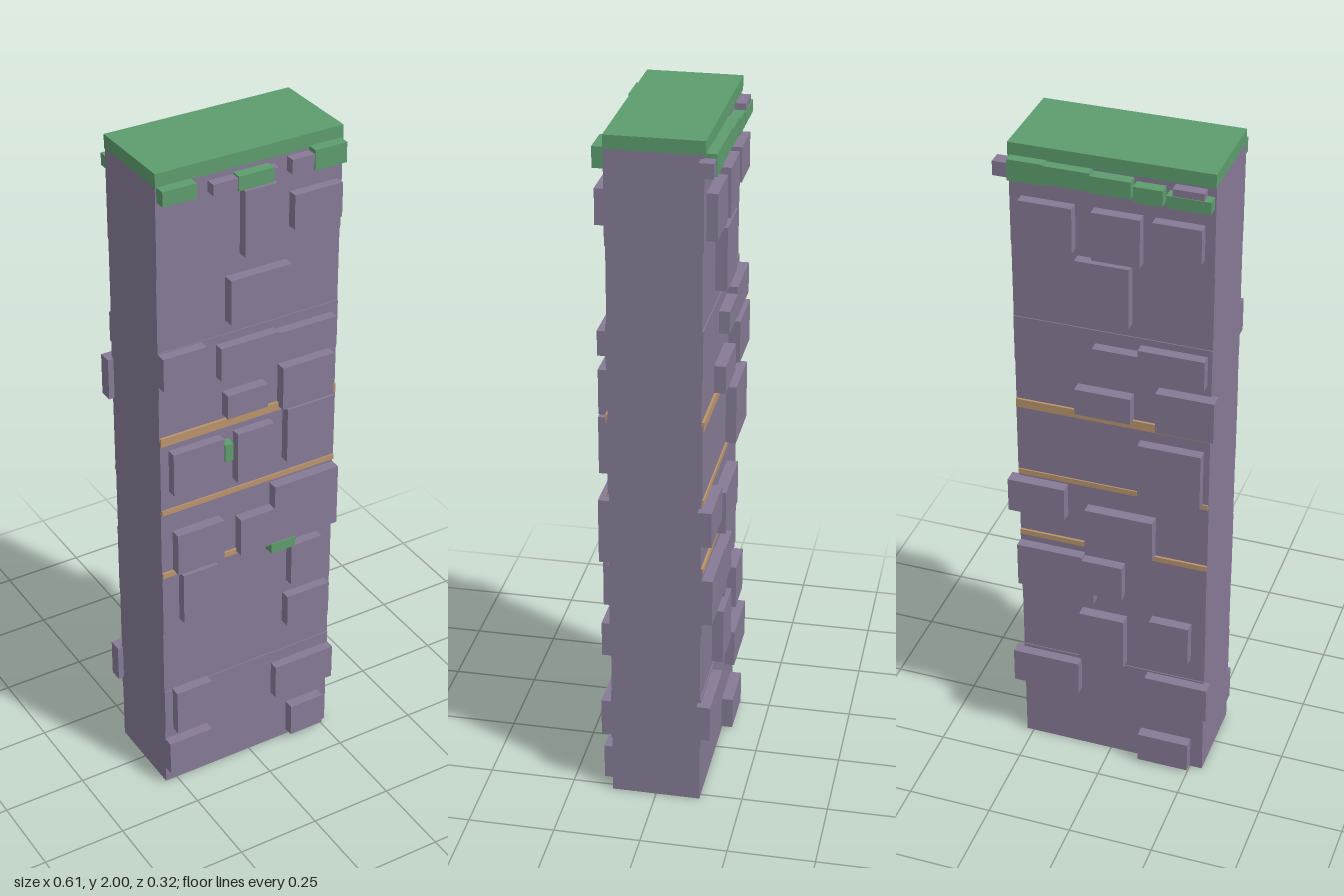
import * as THREE from 'three';

const stone = new THREE.MeshStandardMaterial({ name: 'mauve stone', color: 0x867a95 });
const moss = new THREE.MeshStandardMaterial({ name: 'moss green', color: 0x5d9d6e });
const tan = new THREE.MeshStandardMaterial({ name: 'tan mortar', color: 0xba946c });

// Front blocks: x0, x1, y0, y1
const frontStones = [
  [-0.135, 0.06, 1.912, 1.943], [0.1, 0.262, 1.912, 1.953],
  [-0.04, 0.057, 1.71, 1.9], [0.11, 0.257, 1.75, 1.85], [-0.082, 0.104, 1.52, 1.652],
  [-0.287, -0.155, 1.378, 1.477], [-0.112, 0.066, 1.356, 1.456], [0.066, 0.251, 1.378, 1.45],
  [-0.092, 0.035, 1.23, 1.303], [0.083, 0.247, 1.203, 1.335],
  [-0.261, -0.103, 1.038, 1.17], [-0.06, 0.056, 1.012, 1.17], [0.099, 0.252, 1.027, 1.197],
  [-0.251, -0.103, 0.768, 0.9], [0.062, 0.271, 0.76, 0.953], [-0.049, 0.062, 0.76, 0.88],
  [-0.235, -0.123, 0.593, 0.757], [0.12, 0.221, 0.593, 0.73], [0.11, 0.252, 0.445, 0.55],
  [-0.261, -0.145, 0.196, 0.344], [0.073, 0.271, 0.19, 0.302],
  [-0.287, -0.145, 0.053, 0.164], [0.13, 0.242, 0.02, 0.127],
];
const frontMoss = [
  [-0.283, -0.184, 1.92, 1.962], [-0.061, 0.043, 1.907, 1.948], [0.167, 0.264, 1.907, 1.965],
  [-0.102, -0.076, 1.096, 1.15], [0.05, 0.13, 0.731, 0.763],
];

// Back blocks: x0, x1, y0, y1
const backStones = [
  [0.264, 0.304, 1.912, 1.953], [-0.264, -0.18, 1.93, 1.955],
  [0.09, 0.238, 1.72, 1.85], [-0.095, 0.038, 1.71, 1.85], [-0.26, -0.128, 1.75, 1.85],
  [-0.065, 0.085, 1.52, 1.7], [-0.09, 0.038, 1.375, 1.44], [-0.275, -0.09, 1.37, 1.46],
  [-0.07, 0.09, 1.22, 1.3], [-0.304, -0.14, 1.21, 1.335], [-0.27, -0.09, 0.98, 1.155],
  [0.125, 0.293, 0.85, 0.955], [-0.135, 0.065, 0.77, 0.9],
  [0.075, 0.271, 0.59, 0.73], [-0.045, 0.075, 0.605, 0.72], [0.04, 0.075, 0.57, 0.605],
  [-0.05, 0.085, 0.355, 0.525], [-0.245, -0.128, 0.416, 0.55],
  [0.09, 0.293, 0.22, 0.33], [-0.304, -0.115, 0.22, 0.335], [-0.25, -0.095, 0.01, 0.108],
];
const backMoss = [
  [0.165, 0.264, 1.905, 1.965], [0.04, 0.165, 1.91, 1.962], [-0.07, 0.04, 1.907, 1.955],
  [-0.155, -0.077, 1.9, 1.945], [-0.283, -0.165, 1.9, 1.935],
];

export function createModel() {
  const group = new THREE.Group();

  function box(name, material, [x0, x1, y0, y1], z0, z1) {
    const mesh = new THREE.Mesh(new THREE.BoxGeometry(x1 - x0, y1 - y0, z1 - z0), material);
    mesh.position.set((x0 + x1) / 2, (y0 + y1) / 2, (z0 + z1) / 2);
    mesh.name = name;
    group.add(mesh);
  }

  // Pillar courses, each very slightly different in depth
  const levels = [0, 0.18, 0.34, 0.55, 0.765, 0.975, 1.205, 1.34, 1.48, 1.7, 1.962];
  for (let i = 0; i < levels.length - 1; i++) {
    const d = 0.128 + (i % 2) * 0.003;
    box('pillarCourse', stone, [-0.287, 0.271, levels[i], levels[i + 1]], -d, d);
  }

  // Mossy cap
  box('cap', moss, [-0.287, 0.271, 1.96, 2], -0.135, 0.132);

  // Mortar strips on the front and back
  for (const [y0, y1] of [[1.19, 1.216], [0.965, 0.981], [0.752, 0.768]]) {
    box('frontMortarStrip', tan, [-0.286, 0.27, y0, y1], 0.126, 0.135);
    box('backMortarStrip', tan, [-0.286, 0.27, y0, y1], -0.135, -0.126);
  }

  // Raised stones and moss clumps
  frontStones.forEach(r => box('frontStone', stone, r, 0.122, 0.159));
  frontMoss.forEach(r => box('frontMoss', moss, r, 0.12, 0.162));
  backStones.forEach(r => box('backStone', stone, r, -0.161, -0.122));
  backMoss.forEach(r => box('backMoss', moss, r, -0.163, -0.12));

  return group;
}
